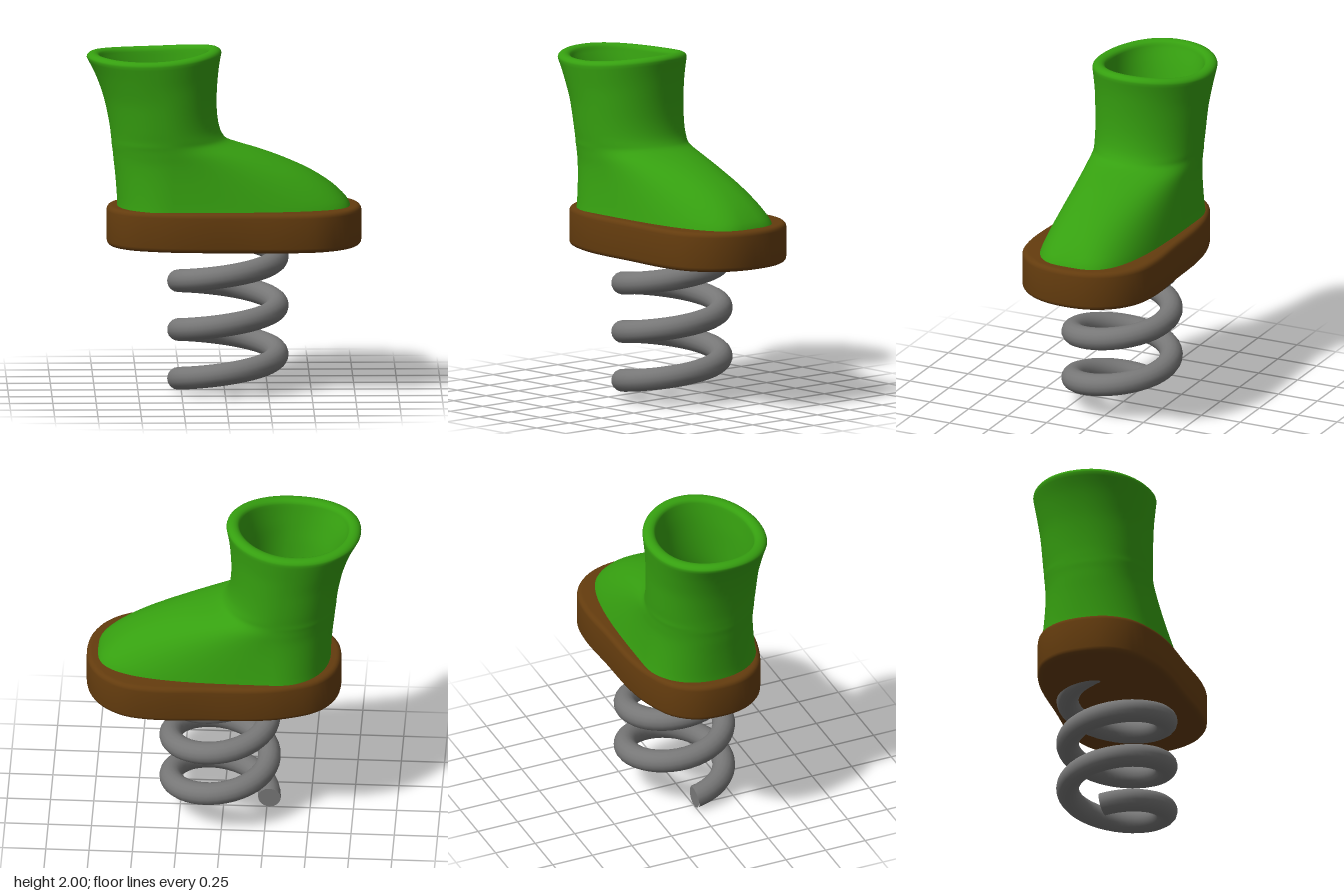
import * as THREE from 'three';
import { toCreasedNormals } from 'three/addons/utils/BufferGeometryUtils.js';

const green = new THREE.MeshStandardMaterial({ color: 0x36a010, side: THREE.DoubleSide });
const brown = new THREE.MeshStandardMaterial({ color: 0x643c0e });
const grey = new THREE.MeshStandardMaterial({ color: 0x777777 });

function addMesh(group, name, geometry, material) {
  const mesh = new THREE.Mesh(geometry, material);
  mesh.name = name;
  group.add(mesh);
  return mesh;
}

// Boot sections: height, back x, front x, half width, widest x, front squareness
const sections = [
  [1.07, -0.62, 0.73, 0.34, -0.3, 3.3],
  [1.12, -0.62, 0.705, 0.332, -0.3, 3.1],
  [1.20, -0.625, 0.625, 0.322, -0.3, 2.7],
  [1.28, -0.632, 0.505, 0.314, -0.3, 2.35],
  [1.35, -0.64, 0.355, 0.31, -0.3, 2.1],
  [1.40, -0.645, 0.22, 0.31, -0.31, 1.95],
  [1.435, -0.65, 0.1, 0.31, -0.32, 1.9],
  [1.46, -0.652, 0.025, 0.311, -0.33, 1.95],
  [1.49, -0.655, -0.008, 0.312, -0.33, 2],
  [1.54, -0.661, -0.03, 0.315, -0.34, 2],
  [1.62, -0.675, -0.043, 0.319, -0.35, 2],
  [1.72, -0.697, -0.045, 0.324, -0.36, 2],
  [1.82, -0.727, -0.039, 0.332, -0.38, 2],
  [1.90, -0.758, -0.03, 0.341, -0.39, 2],
  [1.972, -0.795, -0.017, 0.35, -0.4, 2],
];

// Smooth curve through four neighbouring values
function blend(p, a, b, q, t) {
  const linear = b - p;
  const square = 2 * p - 5 * a + 4 * b - q;
  const cubic = 3 * (a - b) + q - p;
  return a + 0.5 * t * (linear + t * (square + t * cubic));
}

// Add in-between sections
function refine(rows, steps) {
  const out = [];
  const last = rows.length - 1;
  for (let i = 0; i < last; i++) {
    const [p, a, b, q] = [i - 1, i, i + 1, i + 2].map(k => rows[Math.min(last, Math.max(0, k))]);
    for (let s = 0; s < steps; s++) {
      out.push(a.map((v, k) => blend(p[k], v, b[k], q[k], s / steps)));
    }
  }
  out.push(rows[last]);
  return out;
}

function bootGeometry() {
  const wall = 0.075, around = 72;
  const outer = refine(sections, 3);
  const top = sections[sections.length - 1];
  // Outside wall, rounded rim, then the inside wall back down to the sole
  const rings = outer.map(row => ({ row, inset: 0 }));
  for (let i = 1; i < 8; i++) {
    const a = Math.PI * i / 8;
    const row = [top[0] + 0.028 * Math.sin(a), ...top.slice(1)];
    rings.push({ row, inset: wall * (1 - Math.cos(a)) / 2 });
  }
  outer.slice().reverse().forEach(row => rings.push({ row, inset: wall }));

  const positions = [], index = [];
  const power = (v, n) => Math.sign(v) * Math.pow(Math.abs(v), 2 / n);
  rings.forEach(({ row: [y, back, front, width, mid, square], inset }, i) => {
    const wave = THREE.MathUtils.smoothstep(y, 1.6, 1.97);
    for (let j = 0; j < around; j++) {
      const t = j / around * Math.PI * 2;
      const c = Math.cos(t), s = Math.sin(t);
      const n = c > 0 ? square : 2.15;
      const reach = (c > 0 ? front - mid : mid - back) - inset;
      // The rim dips at the sides and a little at the back
      const dip = wave * (0.025 * s * s + 0.0125 * (1 - c));
      positions.push(mid + reach * power(c, n), y - dip, (width - inset) * power(s, n));
      if (i < rings.length - 1) {
        const k = i * around + (j + 1) % around, a = i * around + j;
        index.push(a, a + around, k, k, a + around, k + around);
      }
    }
  });
  const geometry = new THREE.BufferGeometry();
  geometry.setAttribute('position', new THREE.Float32BufferAttribute(positions, 3));
  geometry.setIndex(index);
  geometry.computeVertexNormals();
  return geometry;
}

function soleGeometry() {
  // Half outline from toe to heel, mirrored across the middle
  const half = [[0.765, 0.16], [0.69, 0.285], [0.56, 0.375], [0.38, 0.407], [0.1, 0.398],
    [-0.2, 0.388], [-0.38, 0.355], [-0.56, 0.275], [-0.655, 0.15]];
  const outline = [[0.79, 0], ...half, [-0.68, 0], ...half.slice().reverse().map(([x, z]) => [x, -z])];
  const curve = new THREE.CatmullRomCurve3(outline.map(([x, z]) => new THREE.Vector3(x, z, 0)), true);
  const points = curve.getPoints(80).slice(0, -1).map(p => new THREE.Vector2(p.x, p.y));
  const bevel = 0.028;
  const geometry = new THREE.ExtrudeGeometry(new THREE.Shape(points), {
    depth: 0.23 - 2 * bevel, bevelSize: bevel, bevelThickness: bevel, bevelOffset: -bevel, bevelSegments: 4,
  });
  geometry.rotateX(-Math.PI / 2).translate(0, 0.855 + bevel, 0);
  return toCreasedNormals(geometry, 0.7);
}

// Coil rising three turns from the right end of the front
class Coil extends THREE.Curve {
  getPoint(t, target = new THREE.Vector3()) {
    const a = t * 3 * Math.PI * 2;
    return target.set(0.02 - 0.285 * Math.cos(a), 0.068 + 0.855 * t, 0.285 * Math.sin(a));
  }
}

export function createModel() {
  const model = new THREE.Group();
  model.name = 'springBoot';
  addMesh(model, 'boot', bootGeometry(), green);
  addMesh(model, 'sole', soleGeometry(), brown);
  addMesh(model, 'spring', new THREE.TubeGeometry(new Coil(), 120, 0.066, 16), grey);
  // Flat cut at the foot of the spring
  const end = addMesh(model, 'springEnd', new THREE.CircleGeometry(0.066, 16), grey);
  end.rotation.y = Math.PI;
  end.position.set(-0.265, 0.068, 0);
  return model;
}
